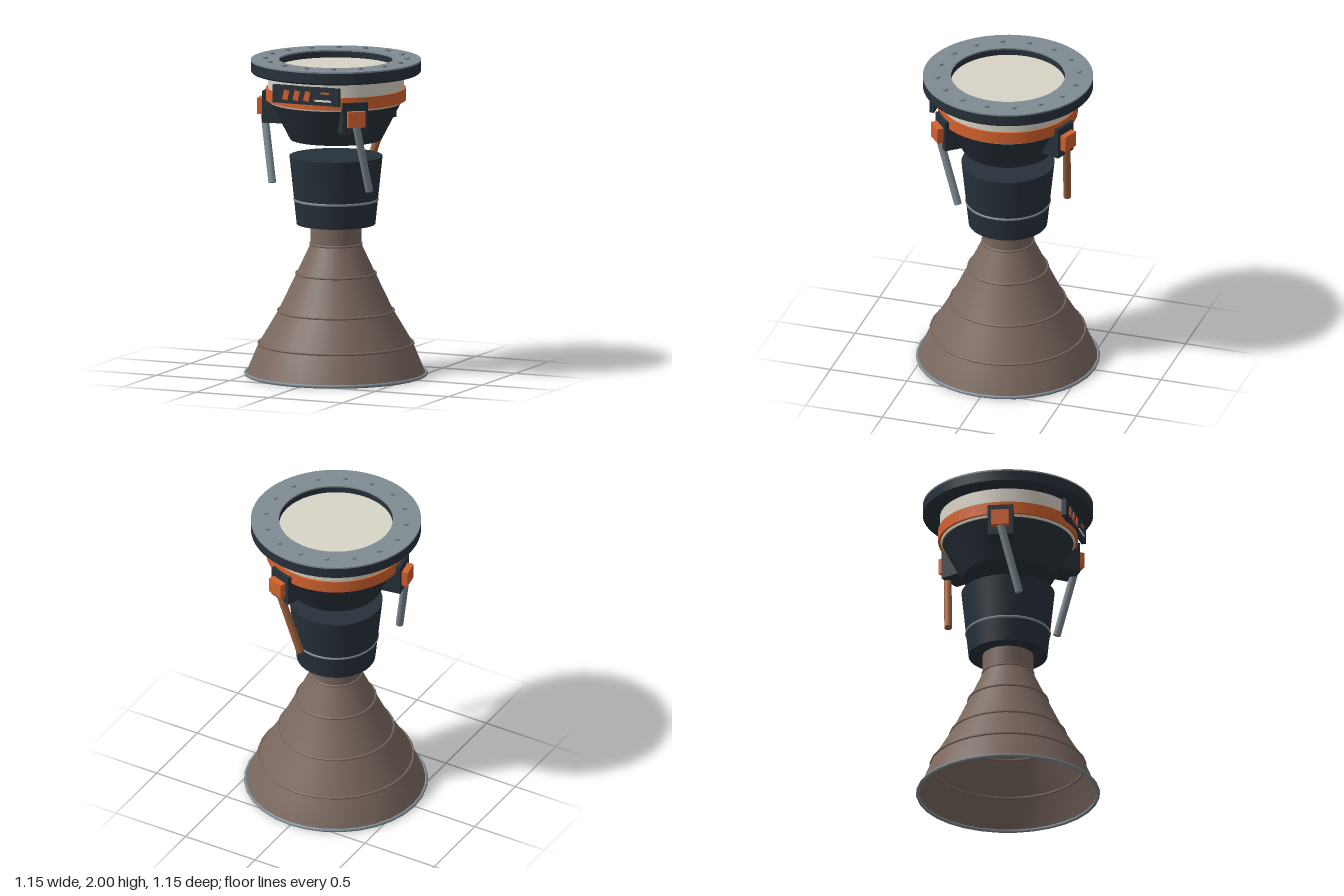
import * as THREE from 'three';
import { toCreasedNormals } from 'three/addons/utils/BufferGeometryUtils.js';

const mat = (name, color, side = THREE.FrontSide) => {
  const m = new THREE.MeshStandardMaterial({ color, side });
  m.name = name;
  return m;
};

export function createModel() {
  const dark = mat('dark slate', 0x27313a);
  const steel = mat('steel grey', 0x7f8b92);
  const brown = mat('nozzle brown', 0x7a685f, THREE.DoubleSide);
  const cream = mat('cream', 0xd8d4c7);
  const orange = mat('orange', 0xd4622f);
  const copper = mat('copper', 0xa0633c);
  const white = mat('off white', 0xe2e2de);

  const root = new THREE.Group();
  root.name = 'rocketEngine';

  const add = (name, geo, material, x = 0, y = 0, z = 0, parent = root) => {
    const m = new THREE.Mesh(geo, material);
    m.name = name;
    m.position.set(x, y, z);
    parent.add(m);
    return m;
  };
  const lathe = (pts, seg) =>
    new THREE.LatheGeometry(pts.map(([r, y]) => new THREE.Vector2(r, y)), seg);
  // Capped round section between two heights
  const drum = (name, r0, y0, r1, y1, material) =>
    add(name, new THREE.CylinderGeometry(r1, r0, y1 - y0, 64), material, 0, (y0 + y1) / 2);
  const hoop = (name, r, y, tube, material, seg) => {
    add(name, new THREE.TorusGeometry(r, tube, 8, seg), material, 0, y).rotation.x = Math.PI / 2;
  };

  // Nozzle bell, neck, stiffening hoops and lip
  add('nozzleBell', lathe([[0.56, 0.01], [0.48, 0.2], [0.358, 0.405], [0.245, 0.64], [0.158, 0.825]], 32), brown);
  add('nozzleNeck', new THREE.CylinderGeometry(0.158, 0.158, 0.13, 32, 1, true), brown, 0, 0.89);
  for (const [r, y] of [[0.482, 0.2], [0.36, 0.405], [0.247, 0.64], [0.159, 0.825]]) {
    hoop('nozzleHoop', r, y, 0.008, brown, 32);
  }
  hoop('nozzleLip', 0.563, 0.011, 0.011, steel, 32);

  // Lower housing
  drum('lowerHousing', 0.245, 0.95, 0.29, 1.38, dark);
  hoop('housingHoop', 0.257, 1.105, 0.01, steel, 64);

  // Upper housing
  drum('upperCone', 0.285, 1.485, 0.41, 1.725, dark);
  drum('trimRing', 0.415, 1.72, 0.42, 1.735, cream);
  drum('orangeBand', 0.435, 1.733, 0.435, 1.81, orange);
  drum('creamCollar', 0.424, 1.81, 0.424, 1.94, cream);

  // Mounting flange with a recessed centre
  const flange = [[0.355, 1.905], [0.52, 1.905], [0.53, 1.915], [0.53, 1.978], [0.355, 1.978], [0.355, 1.905]];
  add('flange', toCreasedNormals(lathe(flange, 64), 0.6), dark);
  const plate = [[0.355, 1.978], [0.53, 1.978], [0.53, 1.988], [0.355, 1.988], [0.355, 1.978]];
  add('flangePlate', toCreasedNormals(lathe(plate, 64), 0.6), steel);
  for (let i = 0; i < 16; i++) {
    const a = (i * Math.PI) / 8;
    const bolt = add('flangeBolt', new THREE.CylinderGeometry(0.018, 0.018, 0.02, 6), steel,
      Math.sin(a) * 0.44, 1.99, Math.cos(a) * 0.44);
    bolt.rotation.y = Math.PI / 6;
  }

  // Three brackets with actuator boxes and leaning struts
  [[40, steel], [160, copper], [280, steel]].forEach(([deg, strutMat]) => {
    const arm = new THREE.Group();
    arm.name = 'strutAssembly';
    arm.rotation.y = THREE.MathUtils.degToRad(deg);
    root.add(arm);
    add('bracket', new THREE.BoxGeometry(0.16, 0.2, 0.155), dark, 0, 1.68, 0.3775, arm);
    add('actuatorBox', new THREE.BoxGeometry(0.11, 0.1, 0.06), orange, 0, 1.68, 0.465, arm);
    const top = new THREE.Vector3(0, 1.65, 0.463);
    const end = new THREE.Vector3(0.11, 1.21, 0.381);
    const dir = end.clone().sub(top);
    const mid = top.clone().add(end).multiplyScalar(0.5);
    const strut = add('strut', new THREE.CylinderGeometry(0.024, 0.024, dir.length(), 16), strutMat,
      mid.x, mid.y, mid.z, arm);
    strut.quaternion.setFromUnitVectors(new THREE.Vector3(0, -1, 0), dir.normalize());
  });

  // Front panel with slanted stripes and bars
  add('frontPanel', new THREE.BoxGeometry(0.45, 0.112, 0.03), dark, -0.005, 1.82, 0.428);
  for (let i = 0; i < 3; i++) {
    const s = add('panelStripe', new THREE.BoxGeometry(0.036, 0.062, 0.006), orange,
      -0.14 + i * 0.072, 1.817, 0.444);
    s.rotation.z = -0.25;
  }
  add('panelBarOrange', new THREE.BoxGeometry(0.056, 0.012, 0.006), orange, 0.128, 1.843, 0.444);
  add('panelBarWhite', new THREE.BoxGeometry(0.112, 0.012, 0.006), white, 0.113, 1.794, 0.444);

  return root;
}
